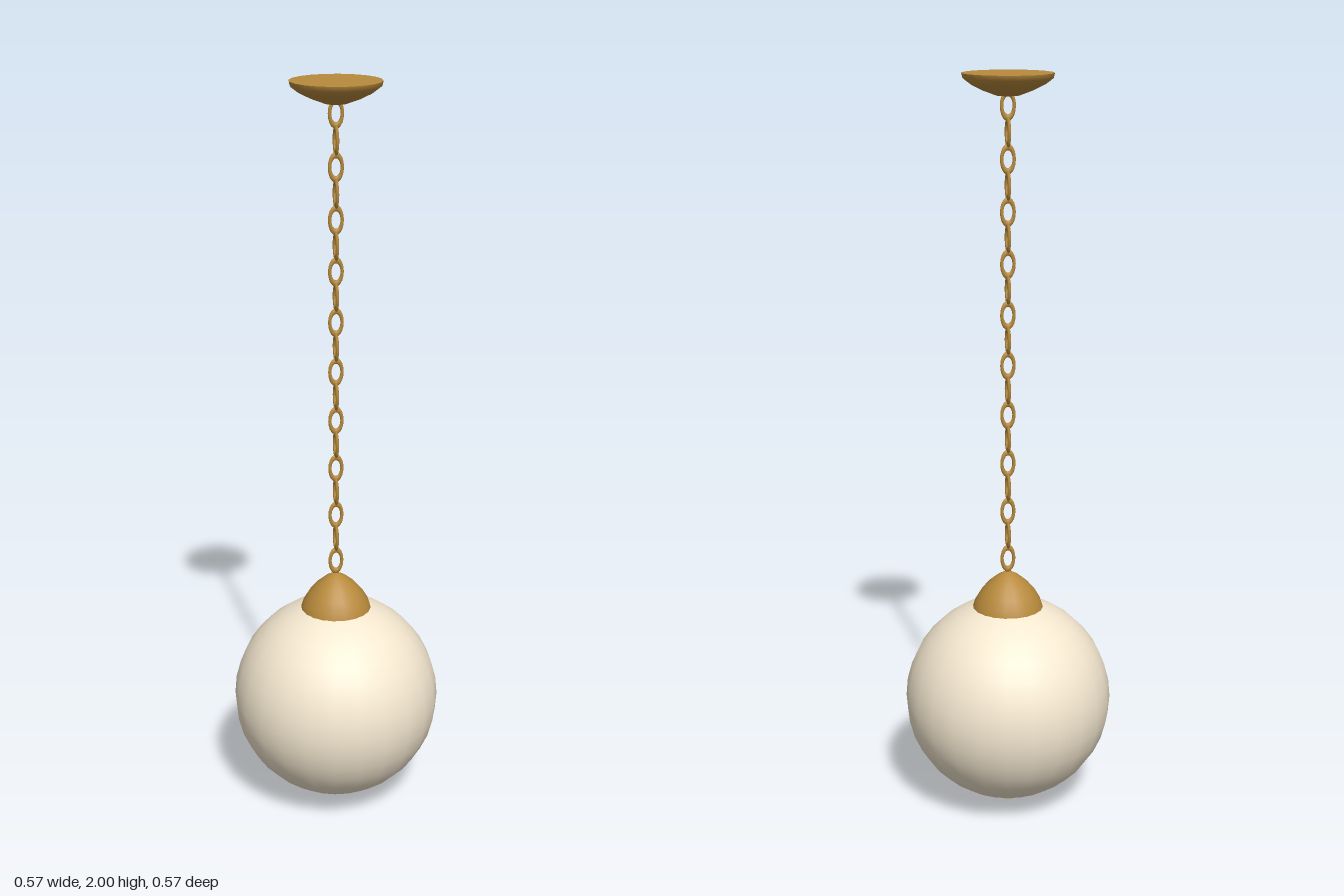
import * as THREE from 'three';

export function createModel() {
  const group = new THREE.Group();
  const brass = new THREE.MeshStandardMaterial({ color: 0xb88a3c });
  const glass = new THREE.MeshStandardMaterial({ color: 0xf5e8d0 });

  function add(name, geometry, material, y = 0) {
    const mesh = new THREE.Mesh(geometry, material);
    mesh.name = name;
    mesh.position.y = y;
    group.add(mesh);
    return mesh;
  }
  // profiles run from bottom to top so that faces point outward
  const lathe = (points, sides) =>
    new THREE.LatheGeometry(points.map(([x, y]) => new THREE.Vector2(x, y)), sides);

  // ceiling canopy: shallow bowl closed by a flat disc
  add('canopy', lathe([[0, 1.942], [0.03, 1.944], [0.065, 1.957], [0.095, 1.972],
    [0.115, 1.987], [0.118, 2]], 20), brass);
  const disc = add('canopyTop', new THREE.CircleGeometry(0.118, 20), brass, 2);
  disc.rotation.x = -Math.PI / 2;

  // chain: oval links, each turned a quarter from the one below
  const link = new THREE.TorusGeometry(0.0165, 0.0045, 8, 20);
  link.scale(1, 1.87, 1);
  link.computeVertexNormals();
  for (let i = 0; i < 19; i++) {
    const mesh = add('chainLink', link, brass, 0.708 + i * 0.0673);
    mesh.rotation.y = (i % 2) * Math.PI / 2;
  }

  // bell-shaped cap on the globe
  add('globeCap', lathe([[0, 0.569], [0.096, 0.569], [0.096, 0.569], [0.09, 0.588], [0.075, 0.613],
    [0.055, 0.637], [0.03, 0.658], [0.012, 0.668], [0, 0.67]], 20), brass);

  // glass globe
  add('globe', new THREE.SphereGeometry(0.283, 24, 18), glass, 0.303);

  // small finial under the globe
  add('finial', new THREE.CylinderGeometry(0.035, 0.035, 0.03, 16), brass, 0.015);

  return group;
}
